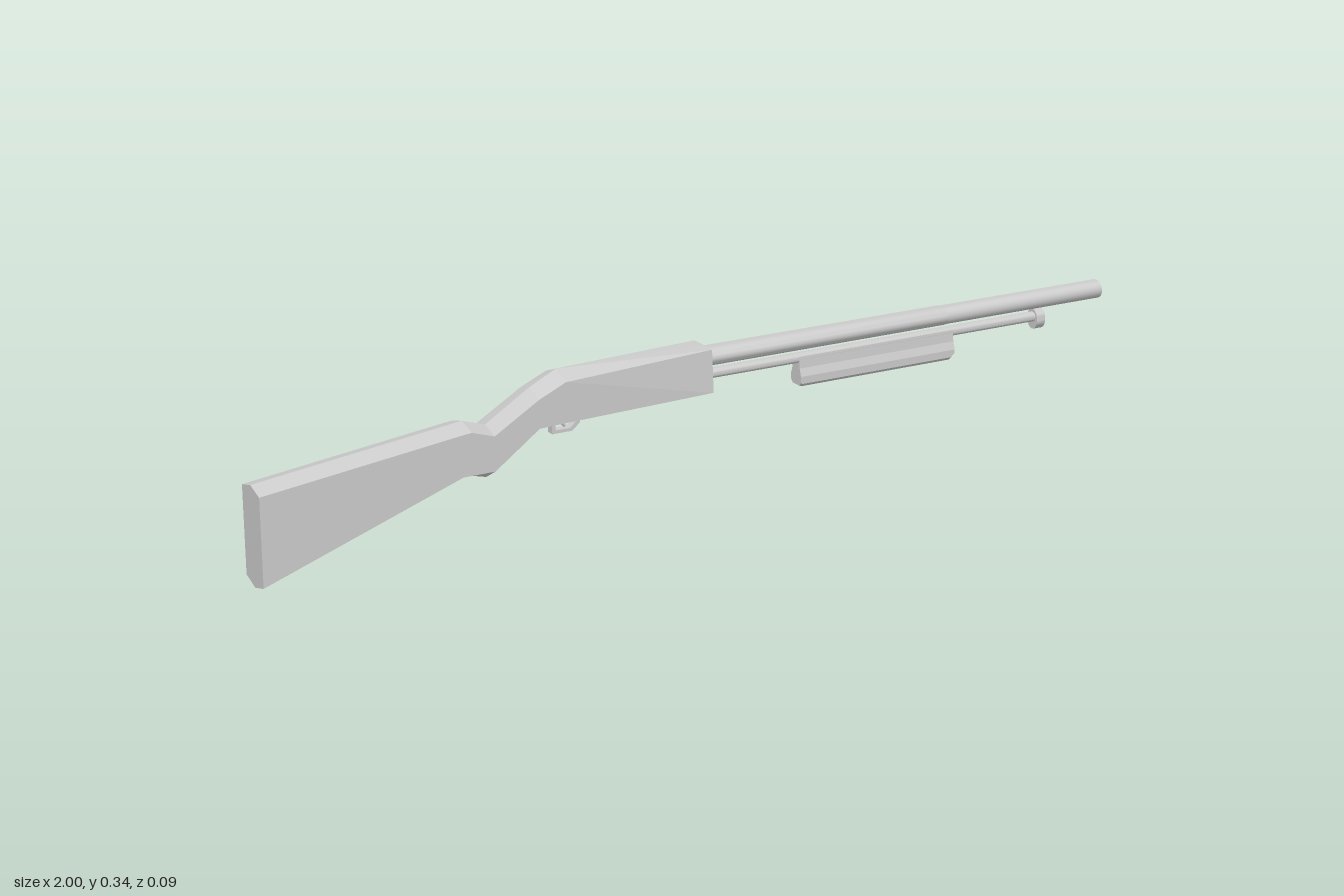
import * as THREE from 'three';
import { toCreasedNormals } from 'three/addons/utils/BufferGeometryUtils.js';

const material = new THREE.MeshStandardMaterial({ color: 0xcccccc });
const flatMaterial = new THREE.MeshStandardMaterial({ color: 0xcccccc, flatShading: true });

// Skin cross-sections running along x. Each ring lists [z, y] for the +z half,
// from the top centre to the bottom centre, and is mirrored to -z.
function loft(sections) {
  const rings = sections.map(([x, half]) => {
    const mirrored = half.slice(1, -1).reverse().map(([z, y]) => [-z, y]);
    return [...half, ...mirrored].map(([z, y]) => [x, y, z]);
  });
  const n = rings[0].length;
  const last = rings.length - 1;
  const pos = [];
  const tri = (a, b, c) => pos.push(...a, ...b, ...c);
  for (let i = 0; i < last; i++) {
    for (let j = 0; j < n; j++) {
      const k = (j + 1) % n;
      const a = rings[i][j], b = rings[i][k], c = rings[i + 1][k], d = rings[i + 1][j];
      tri(a, b, c);
      tri(a, c, d);
    }
  }
  for (let j = 1; j < n - 1; j++) {
    tri(rings[last][0], rings[last][j], rings[last][j + 1]);
    tri(rings[0][0], rings[0][j + 1], rings[0][j]);
  }
  const geometry = new THREE.BufferGeometry();
  geometry.setAttribute('position', new THREE.Float32BufferAttribute(pos, 3));
  geometry.computeVertexNormals();
  return geometry;
}

// Round part turned about the x axis; profile lists [radius, x]
function turned(profile, y, zScale = 1, sides = 20) {
  const points = profile.map(([r, x]) => new THREE.Vector2(r, x));
  const geometry = new THREE.LatheGeometry(points, sides);
  geometry.rotateZ(-Math.PI / 2).scale(1, 1, zScale).translate(0, y, 0);
  return toCreasedNormals(geometry, 0.7);
}

export function createModel() {
  const group = new THREE.Group();
  const add = (name, geometry, mat = material) => {
    const mesh = new THREE.Mesh(geometry, mat);
    mesh.name = name;
    group.add(mesh);
  };

  // Body stations: x, ridge y, shoulder y, lower edge y, keel y, shoulder half width
  const W = 0.044;
  const station = (x, ridge, shoulder, lower, keel, sw = W) =>
    [x, [[0, ridge], [sw, shoulder], [W, lower], [0, keel]]];

  // Stock and wrist, ridged on top with a keel below
  add('stock', loft([
    station(-1, 0.212, 0.2, 0.013, 0),
    station(-0.57, 0.264, 0.252, 0.164, 0.157),
    station(-0.55, 0.266, 0.254, 0.164, 0.152),
    station(-0.5, 0.25, 0.238, 0.164, 0.139),
    station(-0.4, 0.312, 0.298, 0.237, 0.232),
  ]), flatMaterial);

  // Receiver, its ridge flattening out towards the front
  add('receiver', loft([
    station(-0.4, 0.312, 0.298, 0.237, 0.232),
    station(-0.34, 0.341, 0.325, 0.239, 0.239),
    station(0, 0.339, 0.338, 0.247, 0.247, 0.037),
  ]), flatMaterial);

  // Oval barrel with a wider rear length and an open bore
  add('barrel', turned([[0, -0.02], [0.021, -0.02], [0.021, 0.585], [0.0205, 0.59]], 0.314, 1.36));
  add('muzzleBarrel', turned([
    [0.0205, 0.57], [0.0205, 1], [0.015, 1], [0.015, 0.85], [0, 0.85],
  ], 0.314, 1.16));

  // Magazine tube with its end cap
  add('magazineTube', turned([[0, -0.02], [0.011, -0.02], [0.011, 0.84], [0, 0.84]], 0.275, 1.15));
  add('magazineCap', turned([[0, 0.83], [0.023, 0.83], [0.023, 0.852], [0, 0.852]], 0.27, 0.8));

  // Pump grip with slightly tapered ends
  const grip = (x, s) => [x, [
    [0, 0.282], [0.012, 0.28], [0.014, 0.255], [0.02, 0.238],
    [0.02, 0.222 + s], [0.013, 0.215 + s], [0, 0.215 + s],
  ]];
  add('pumpGrip', loft([grip(0.225, 0.002), grip(0.23, 0), grip(0.603, 0), grip(0.613, 0.008)]), flatMaterial);

  // Trigger guard: small loop with an opening
  const loop = new THREE.Shape();
  loop.moveTo(-0.355, 0.245);
  loop.lineTo(-0.355, 0.207);
  loop.lineTo(-0.31, 0.207);
  loop.lineTo(-0.292, 0.222);
  loop.lineTo(-0.288, 0.245);
  const hole = new THREE.Path();
  hole.moveTo(-0.347, 0.238);
  hole.lineTo(-0.299, 0.238);
  hole.lineTo(-0.302, 0.225);
  hole.lineTo(-0.314, 0.214);
  hole.lineTo(-0.347, 0.214);
  loop.holes.push(hole);
  const guard = new THREE.ExtrudeGeometry(loop, { depth: 0.018, bevelEnabled: false });
  add('triggerGuard', guard.translate(0, 0, -0.009), flatMaterial);

  // Curved trigger
  const curve = new THREE.QuadraticBezierCurve3(
    new THREE.Vector3(-0.33, 0.245, 0),
    new THREE.Vector3(-0.335, 0.228, 0),
    new THREE.Vector3(-0.322, 0.218, 0),
  );
  add('trigger', new THREE.TubeGeometry(curve, 6, 0.004, 6));

  return group;
}
